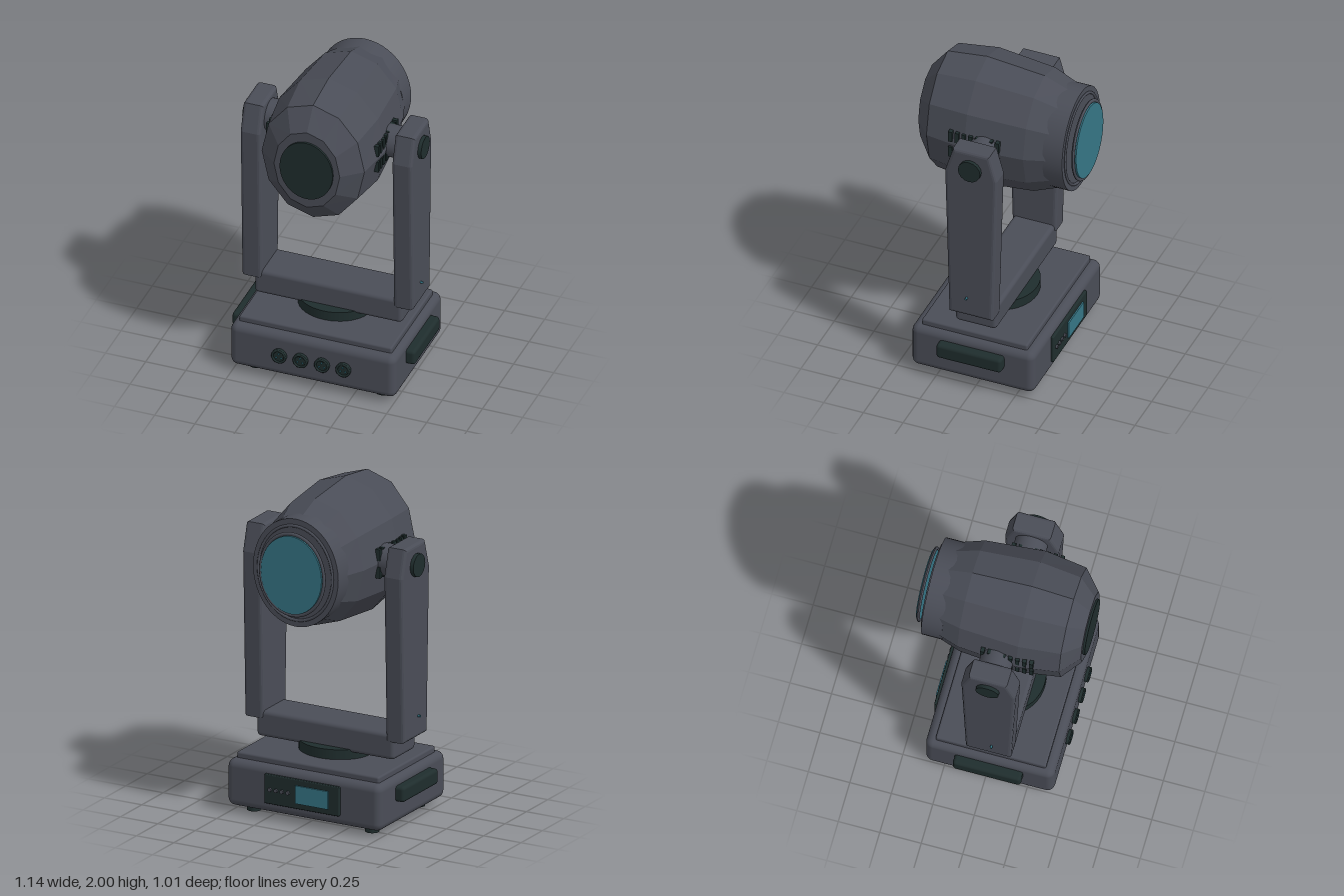
import * as THREE from 'three';
import { RoundedBoxGeometry } from 'three/addons/geometries/RoundedBoxGeometry.js';

const CZ = 0.022;   // depth of the pan axis
const HY = 1.577;   // height of the tilt axis

export function createModel() {
  const model = new THREE.Group();
  model.name = 'movingHeadLight';

  const mat = (name, color) => {
    const m = new THREE.MeshStandardMaterial({ color });
    m.name = name;
    return m;
  };
  const body = mat('charcoal housing', 0x4a4d57);
  const dark = mat('black rubber', 0x1f2d2d);
  const teal = mat('teal glass', 0x367585);
  const facet = mat('charcoal faceted shell', 0x4a4d57);
  facet.flatShading = true;

  const add = (name, geo, material, x = 0, y = 0, z = 0) => {
    const m = new THREE.Mesh(geo, material);
    m.name = name;
    m.position.set(x, y, z);
    model.add(m);
    return m;
  };
  const rbox = (w, h, d, r) => new RoundedBoxGeometry(w, h, d, 3, r);
  // oval disc and oval ring facing along z
  const disc = (rx, ry, depth, seg = 40) =>
    new THREE.CylinderGeometry(1, 1, depth, seg).rotateX(Math.PI / 2).scale(rx, ry, 1);
  const ring = (rx, ry, tube) => {
    const g = new THREE.TorusGeometry(rx, tube, 10, 48);
    g.scale(1, ry / rx, 1);
    g.computeVertexNormals();
    return g;
  };

  // Base
  add('base', rbox(1.03, 0.285, 0.775, 0.045), body, 0, 0.1825, CZ);
  add('basePlate', rbox(0.95, 0.07, 0.665, 0.012), body, 0, 0.325, CZ);
  add('panBearing', new THREE.CylinderGeometry(1, 1, 0.07, 40).scale(0.225, 1, 0.195), dark, 0, 0.385, CZ);
  for (const x of [-0.395, 0.395]) for (const z of [-0.245, 0.29]) {
    add('foot', new THREE.CylinderGeometry(0.045, 0.042, 0.06, 20), dark, x, 0.03, z);
  }

  // Sockets on the front
  for (const x of [-0.2, -0.067, 0.067, 0.2]) {
    add('socket', disc(0.045, 0.045, 0.03, 24), dark, x, 0.185, 0.412);
    add('socketRim', ring(0.039, 0.039, 0.007), dark, x, 0.185, 0.428);
    for (let i = 0; i < 3; i++) {
      const a = Math.PI / 2 + i * Math.PI * 2 / 3;
      add('socketPin', disc(0.005, 0.005, 0.008, 8), teal,
        x + 0.018 * Math.cos(a), 0.185 + 0.018 * Math.sin(a), 0.43);
    }
  }

  // Control panel on the back
  add('controlPanel', rbox(0.5, 0.18, 0.03, 0.006), dark, 0, 0.192, -0.367);
  add('screen', new THREE.BoxGeometry(0.22, 0.11, 0.009), teal, -0.07, 0.192, -0.386);
  for (let i = 0; i < 4; i++) {
    add('button', disc(0.012, 0.012, 0.014, 12), body, 0.09 + i * 0.04, 0.192, -0.386);
  }

  // Yoke
  add('yokeBar', rbox(0.92, 0.16, 0.26, 0.025), body, 0, 0.48, CZ);
  const profile = new THREE.Shape([
    [0.16, 0.515], [-0.115, 0.515], [-0.142, 1.53], [-0.095, 1.70], [0.135, 1.70], [0.187, 1.53],
  ].map(([z, y]) => new THREE.Vector2(z, y)));
  const armGeo = new THREE.ExtrudeGeometry(profile, {
    depth: 0.085, bevelEnabled: true, bevelThickness: 0.02, bevelSize: 0.02, bevelOffset: -0.02, bevelSegments: 3,
  });
  armGeo.translate(0, 0, -0.0425).rotateY(-Math.PI / 2);
  const axle = (r, l, seg) => new THREE.CylinderGeometry(r, r, l, seg).rotateZ(Math.PI / 2);

  for (const s of [-1, 1]) {
    add('sideHandle', rbox(0.09, 0.095, 0.41, 0.02), dark, s * 0.525, 0.2275, CZ);
    add('yokeArm', armGeo, body, s * 0.4725, 0, 0);
    add('tiltAxle', axle(0.097, 0.14, 32), body, s * 0.36, HY, CZ);
    add('pivotCap', axle(0.07, 0.05, 16), dark, s * 0.532, HY, CZ);
    add('indicator', axle(0.007, 0.03, 10), teal, s * 0.537, 0.645, 0.045);
    // Cooling slots, two rows of eight
    for (const y of [-0.054, 0.054]) for (let i = 0; i < 8; i++) {
      add('vent', new THREE.BoxGeometry(0.03, 0.07, 0.024), dark, s * 0.335, HY + y, 0.229 - i * 0.042);
    }
  }

  // Twelve-sided oval head shell: z, half width, half height
  const rings = [
    [0.49, 0, 0], [0.49, 0.205, 0.26], [0.39, 0.32, 0.39], [0.14, 0.355, 0.423],
    [-0.22, 0.325, 0.388], [-0.4, 0.268, 0.316],
  ];
  const N = 12, pos = [], idx = [];
  rings.forEach(([z, rx, ry], i) => {
    for (let k = 0; k < N; k++) {
      const a = k * Math.PI * 2 / N;
      pos.push(rx * Math.sin(a), ry * Math.cos(a), z);
      if (i === rings.length - 1) continue;
      const p0 = i * N + k, p1 = i * N + (k + 1) % N;
      if (i > 0) idx.push(p0, p1, p0 + N);
      idx.push(p1, p1 + N, p0 + N);
    }
  });
  let shell = new THREE.BufferGeometry();
  shell.setAttribute('position', new THREE.Float32BufferAttribute(pos, 3));
  shell.setIndex(idx);
  shell = shell.toNonIndexed();
  shell.computeVertexNormals();
  add('headShell', shell, facet, 0, HY, 0);
  add('rearCap', disc(0.165, 0.194, 0.03), dark, 0, HY, 0.488);

  // Lens assembly
  add('lensBezel', disc(0.285, 0.33, 0.125, 48), body, 0, HY, -0.3875);
  add('bezelRing', ring(0.248, 0.288, 0.008), body, 0, HY, -0.453);
  add('lensRing', ring(0.212, 0.248, 0.01), body, 0, HY, -0.488);
  add('lens', disc(0.203, 0.238, 0.02, 48), teal, 0, HY, -0.494);

  return model;
}
